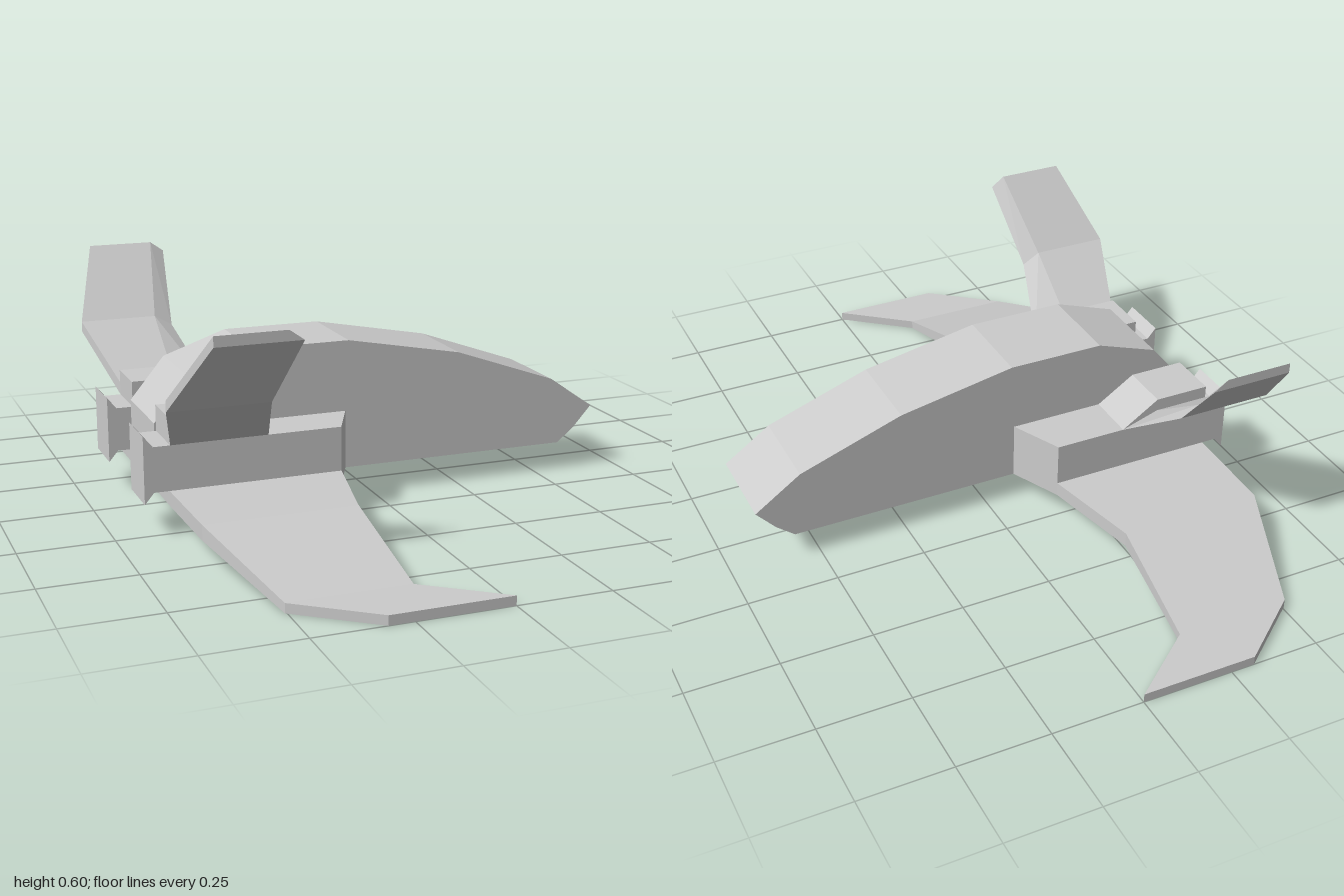
import * as THREE from 'three';

const material = new THREE.MeshStandardMaterial({ color: 0xcccccc, flatShading: true });

// Lofts counter-clockwise [x, y] rings placed at rising z; side = -1 mirrors across z.
function loft(name, sections, side = 1) {
  const pos = [];
  const tri = (a, b, c) => {
    for (const p of side > 0 ? [a, b, c] : [a, c, b]) pos.push(p[0], p[1], p[2] * side);
  };
  const rings = sections.map(({ z, ring }) => ring.map(([x, y]) => [x, y, z]));
  const n = rings[0].length;
  for (let s = 0; s < rings.length - 1; s++) {
    for (let i = 0; i < n; i++) {
      const j = (i + 1) % n, r = rings[s], q = rings[s + 1];
      tri(r[i], r[j], q[j]);
      tri(r[i], q[j], q[i]);
    }
  }
  // End caps
  for (const [ring, start] of [[rings[0], true], [rings[rings.length - 1], false]]) {
    const outline = ring.map(([x, y]) => new THREE.Vector2(x, y));
    for (const [a, b, c] of THREE.ShapeUtils.triangulateShape(outline, [])) {
      if (start) tri(ring[a], ring[c], ring[b]);
      else tri(ring[a], ring[b], ring[c]);
    }
  }
  const geometry = new THREE.BufferGeometry();
  geometry.setAttribute('position', new THREE.Float32BufferAttribute(pos, 3));
  geometry.computeVertexNormals();
  const mesh = new THREE.Mesh(geometry, material);
  mesh.name = name;
  return mesh;
}

// Blade section: rear x, lower front x, upper front x, bottom y, top y
const blade = (z, rear, front, upperFront, y0, y1) => ({
  z, ring: [[rear, y0], [front, y0], [upperFront, y1], [rear, y1]],
});

export function createModel() {
  const group = new THREE.Group();
  group.name = 'spacecraft';

  // Slab fuselage with pointed nose along +x
  const hull = [
    [-0.61, 0.08], [0.57, 0.08], [0.62, 0.12], [0.674, 0.18], [0.545, 0.27], [0.255, 0.373],
    [-0.07, 0.435], [-0.34, 0.435], [-0.515, 0.375], [-0.61, 0.26],
  ];
  group.add(loft('fuselage', [{ z: -0.125, ring: hull }, { z: 0.125, ring: hull }]));

  for (const side of [1, -1]) {
    const label = side > 0 ? 'left' : 'right';

    // Engine block with slanted intake and flared exhaust
    const engine = (z, front) => ({
      z, ring: [[-0.675, 0.09], [-0.65, 0.12], [front, 0.12], [front, 0.24], [-0.65, 0.24], [-0.675, 0.27]],
    });
    group.add(loft(label + 'Engine', [engine(0.125, -0.08), engine(0.265, -0.145)], side));

    // Ramped fairing on the engine
    group.add(loft(label + 'Fairing', [
      blade(0.125, -0.605, -0.345, -0.45, 0.24, 0.31),
      blade(0.265, -0.605, -0.345, -0.45, 0.24, 0.31),
    ], side));

    // Drooped main wing with forward-swept tip
    group.add(loft(label + 'Wing', [
      blade(0.125, -0.61, -0.08, -0.08, 0.08, 0.12),
      blade(0.265, -0.61, -0.145, -0.145, 0.08, 0.12),
      blade(0.54, -0.605, -0.205, -0.205, 0.08, 0.12),
      blade(0.85, -0.505, -0.19, -0.19, 0, 0.025),
      blade(1, -0.315, 0, 0, 0, 0.025),
    ], side));

    // Upswept, kinked tail fin
    group.add(loft(label + 'Fin', [
      blade(0.265, -0.605, -0.345, -0.45, 0.24, 0.275),
      blade(0.462, -0.665, -0.4, -0.45, 0.383, 0.412),
      blade(0.635, -0.595, -0.375, -0.413, 0.573, 0.6),
    ], side));
  }
  return group;
}
